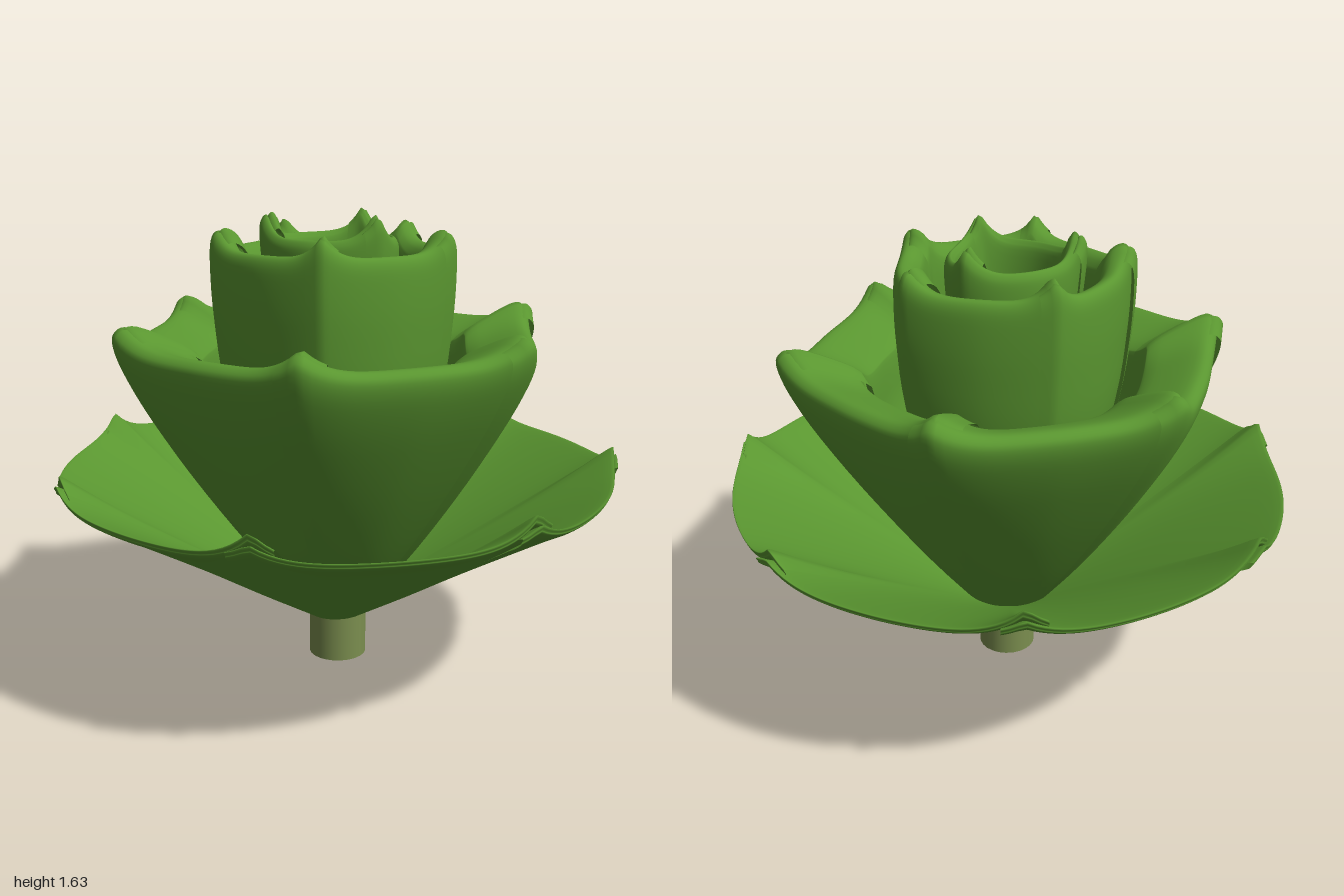
import * as THREE from 'three';

const D = Math.PI / 180;

// One petal: a rolled-lip profile swept round an arc, with raised, drawn-out corners.
// The edge at t = -1 lies outside its neighbour, the edge at t = 1 tucks inside.
function petalGeometry(L) {
  const profile = new THREE.SplineCurve(L.profile.map(p => new THREE.Vector2(...p))).getPoints(44);
  const top = Math.max(...L.profile.map(p => p[1]));
  const cols = 40, half = Math.PI / L.count, pos = [], index = [];
  for (let i = 0; i <= cols; i++) {
    const t = -1 + 2 * i / cols, u = Math.abs(t) * L.overlap;
    const w = u <= 1 ? u : 2 - u; // distance towards the corner, mirrored in the overlap
    const a = t * L.overlap * half;
    const lift = t < 0 ? L.outerLift : L.innerLift;
    for (const p of profile) {
      const g = Math.max(0, (p.y - 0.17) / (top - 0.17));
      const r = p.x * (1 + L.point * g * w ** 2.3) - L.skew * g * t;
      const y = p.y + lift * g ** 4 * w ** 5;
      pos.push(Math.sin(a) * r, y, Math.cos(a) * r);
    }
  }
  const n = profile.length;
  for (let i = 0; i < cols; i++) {
    for (let j = 0; j < n - 1; j++) {
      const a = i * n + j, b = a + n;
      index.push(a, b, a + 1, b, b + 1, a + 1);
    }
  }
  const geo = new THREE.BufferGeometry();
  geo.setAttribute('position', new THREE.Float32BufferAttribute(pos, 3));
  geo.setIndex(index);
  geo.computeVertexNormals();
  return geo;
}

// Petal rings from the outside in; turn is the angle of the first petal, profiles are [radius, height]
const layers = [
  { name: 'outerPetal', count: 7, turn: 41, overlap: 1.16, point: 0.02, outerLift: 0.05, innerLift: 0.08, skew: 0.008,
    profile: [[0.1, 0.16], [0.35, 0.315], [0.6, 0.475], [0.88, 0.645], [0.96, 0.69], [0.978, 0.708],
      [0.945, 0.705], [0.6, 0.515], [0.1, 0.22]] },
  { name: 'middlePetal', count: 6, turn: 0, overlap: 1.2, point: 0.13, outerLift: 0.075, innerLift: 0.08, skew: 0.012,
    profile: [[0.1, 0.17], [0.3, 0.43], [0.47, 0.69], [0.605, 0.93], [0.675, 1.08], [0.697, 1.16],
      [0.685, 1.195], [0.645, 1.205], [0.55, 1.17], [0.475, 1.13], [0.455, 1.08], [0.4, 0.8], [0.1, 0.25]] },
  { name: 'innerPetal', count: 5, turn: 80, overlap: 1.2, point: 0.12, outerLift: 0.07, innerLift: 0.08, skew: 0.012,
    profile: [[0.1, 0.17], [0.27, 0.6], [0.36, 1], [0.385, 1.25], [0.387, 1.42], [0.377, 1.49],
      [0.35, 1.508], [0.31, 1.48], [0.29, 1.4], [0.27, 1.05], [0.1, 0.3]] },
  { name: 'heartPetal', count: 3, turn: 73, overlap: 1.2, point: 0.2, outerLift: 0.08, innerLift: 0.09, skew: 0.012,
    profile: [[0.1, 0.2], [0.18, 0.8], [0.205, 1.3], [0.215, 1.48], [0.207, 1.535], [0.185, 1.54],
      [0.165, 1.45], [0.14, 1], [0.11, 0.3]] },
];

export function createModel() {
  const leafGreen = new THREE.MeshStandardMaterial({ color: 0x5a9630, side: THREE.DoubleSide });
  leafGreen.name = 'leaf green';
  const stemGreen = new THREE.MeshStandardMaterial({ color: 0x7b8e4f });
  stemGreen.name = 'stem green';

  const rosette = new THREE.Group();
  rosette.name = 'rosette';
  rosette.position.x = 0.01;

  // Short stem
  const stem = new THREE.Mesh(new THREE.CylinderGeometry(0.105, 0.105, 0.2, 24), stemGreen);
  stem.name = 'stem';
  stem.position.set(0.005, 0.1, 0.005);
  rosette.add(stem);

  // Rings of overlapping petals
  for (const L of layers) {
    const ring = new THREE.Group();
    ring.name = L.name + 'Ring';
    const geo = petalGeometry(L);
    for (let k = 0; k < L.count; k++) {
      const petal = new THREE.Mesh(geo, leafGreen);
      petal.name = L.name;
      petal.rotation.y = L.turn * D + k * 2 * Math.PI / L.count;
      ring.add(petal);
    }
    rosette.add(ring);
  }

  const model = new THREE.Group();
  model.name = 'succulent';
  model.add(rosette);
  return model;
}
